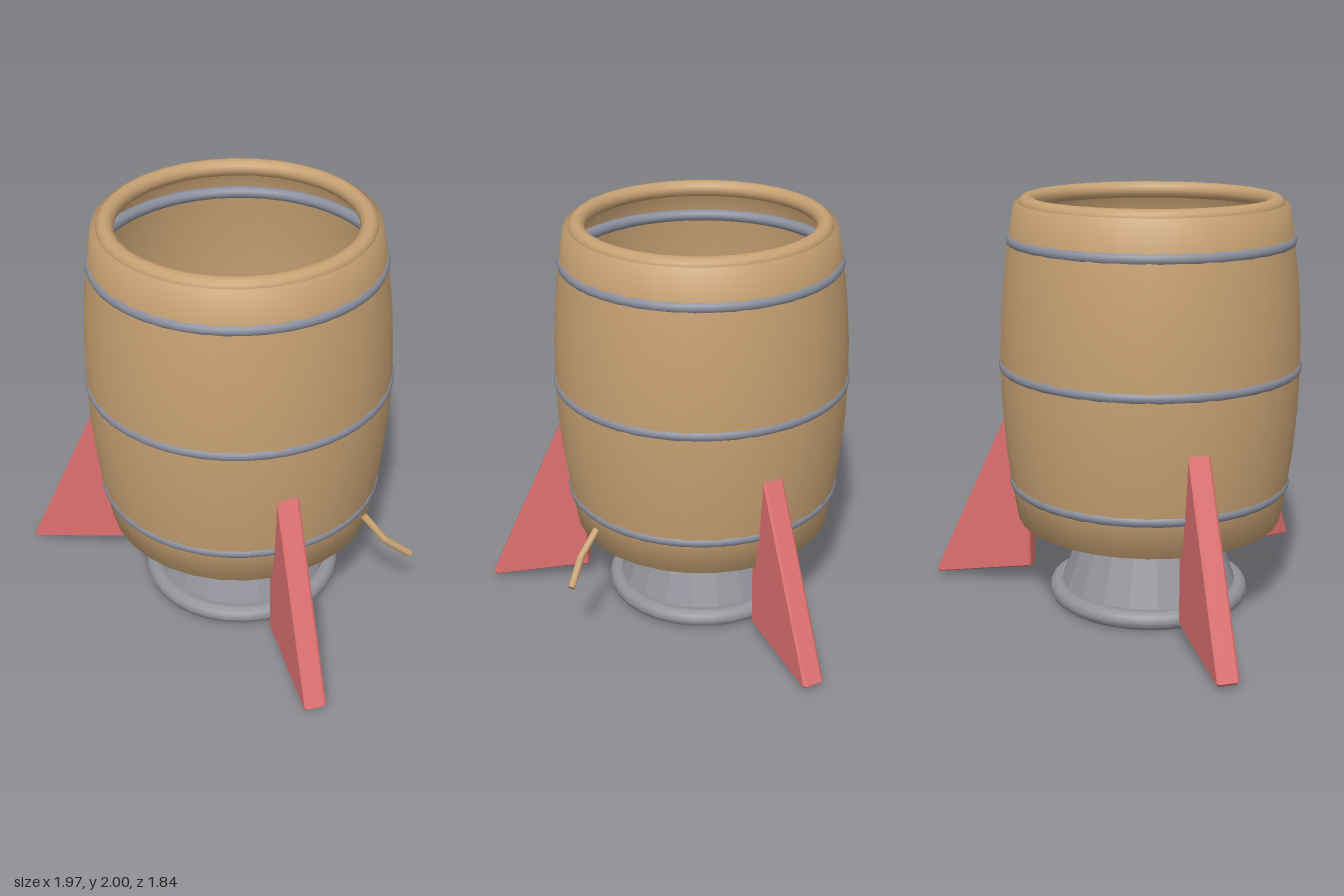
import * as THREE from 'three';

const mat = (name, color, extra = {}) => {
  const m = new THREE.MeshStandardMaterial({ color, ...extra });
  m.name = name;
  return m;
};

export function createModel() {
  const wood = mat('wood', 0xc6a072, { side: THREE.DoubleSide });
  const iron = mat('hoop iron', 0x8a8e9c);
  const steel = mat('nozzle steel', 0x93939b);
  const steelFacets = mat('nozzle steel', 0x93939b, { flatShading: true });
  const red = mat('fin red', 0xde7070);

  const model = new THREE.Group();
  model.name = 'barrelRocket';
  // everything except the fuse turns about an axis shifted forward
  const body = new THREE.Group();
  body.name = 'body';
  body.position.z = 0.19;
  model.add(body);

  const add = (name, geometry, material, y = 0, parent = body) => {
    const mesh = new THREE.Mesh(geometry, material);
    mesh.name = name;
    mesh.position.y = y;
    parent.add(mesh);
    return mesh;
  };
  const ring = (radius, tube, sides = 10, segments = 32) =>
    new THREE.TorusGeometry(radius, tube, sides, segments).rotateX(Math.PI / 2);

  // Barrel in one smooth sweep: recessed floor, bottom lip, bulging wall, top ledge
  const radiusAt = y => 0.72 - 0.075 * Math.pow(Math.abs(y - 1.2) / 0.765, 2);
  const wall = [0.435, 0.62, 0.8, 1.0, 1.2, 1.4, 1.6, 1.78, 1.965].map(y => [radiusAt(y), y]);
  const barrel = [[0, 0.475], [0.56, 0.475], [0.56, 0.435], ...wall, [0.57, 1.965]];
  add('barrel', new THREE.LatheGeometry(barrel.map(p => new THREE.Vector2(...p)), 32), wood);
  add('topRim', ring(0.584, 0.041, 12), wood, 1.959);

  // Iron hoops mostly sunk in the wall, showing inside and out
  for (const y of [0.62, 1.2, 1.795]) add('hoop', ring(radiusAt(y) - 0.021, 0.029, 12, 48), iron, y);

  // Engine nozzle
  add('nozzleCone', new THREE.CylinderGeometry(0.285, 0.445, 0.415, 20), steelFacets, 0.2675);
  add('nozzleRing', ring(0.448, 0.047), steel, 0.047);
  add('nozzleMouth', new THREE.CylinderGeometry(0.44, 0.44, 0.008, 32), steel, 0.014);

  // Three fins, drawn as radius against height
  const profile = new THREE.Shape(
    [[0.612, 0.105], [1.095, 0.03], [1.103, 0.038], [0.7, 0.925], [0.68, 0.925], [0.612, 0.45]]
      .map(p => new THREE.Vector2(...p)));
  const finGeometry = new THREE.ExtrudeGeometry(profile, {
    depth: 0.084, bevelEnabled: true, bevelThickness: 0.01, bevelSize: 0.008, bevelSegments: 1,
  }).translate(0, 0, -0.042);
  for (let i = 0; i < 3; i++) {
    add('fin', finGeometry, red).rotation.y = Math.PI / 2 + (i * Math.PI * 2) / 3;
  }

  // Bent wooden fuse on the left side
  const a = new THREE.Vector3(0.66, 0.56, 0.04);
  const b = new THREE.Vector3(0.765, 0.45, 0.005);
  const c = new THREE.Vector3(0.855, 0.355, -0.085);
  const fuse = new THREE.Group();
  fuse.name = 'fuse';
  model.add(fuse);
  for (const [p, q] of [[a, b], [b, c]]) {
    const dir = q.clone().sub(p);
    const stick = add('fuseStick', new THREE.CylinderGeometry(0.018, 0.018, dir.length(), 10), wood, 0, fuse);
    stick.position.copy(p).add(q).multiplyScalar(0.5);
    stick.quaternion.setFromUnitVectors(new THREE.Vector3(0, 1, 0), dir.normalize());
  }
  add('fuseBend', new THREE.SphereGeometry(0.018, 10, 8), wood, 0, fuse).position.copy(b);

  return model;
}
